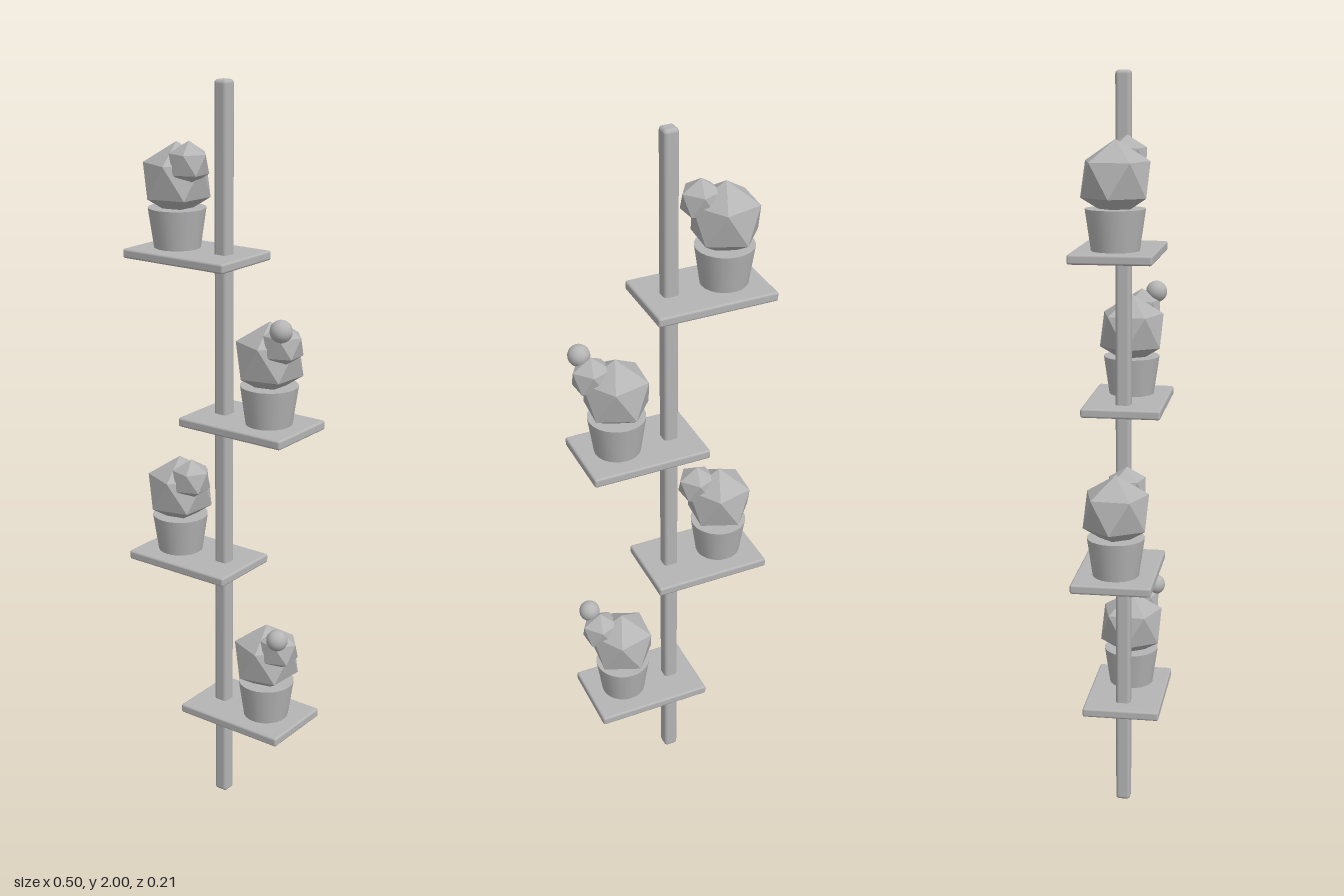
import * as THREE from 'three';
import { RoundedBoxGeometry } from 'three/addons/geometries/RoundedBoxGeometry.js';

const clay = new THREE.MeshStandardMaterial({ color: 0xb4b4b4 });
clay.name = 'grey clay';

function add(parent, name, geometry, x, y, z) {
  const mesh = new THREE.Mesh(geometry, clay);
  mesh.name = name;
  mesh.position.set(x, y, z);
  parent.add(mesh);
  return mesh;
}

// Faceted ball standing on one corner, turned about the vertical
function facetedBall(radius, turn) {
  const g = new THREE.IcosahedronGeometry(radius, 0);
  g.rotateZ(Math.PI / 2 - Math.atan((1 + Math.sqrt(5)) / 2));
  g.rotateY(THREE.MathUtils.degToRad(turn));
  return g;
}

// Potted cactus, measured from the middle of its shelf board
function createCactus(withBud) {
  const cactus = new THREE.Group();
  cactus.name = 'pottedCactus';
  add(cactus, 'pot', new THREE.CylinderGeometry(0.076, 0.061, 0.103, 24), 0, 0.064, 0);
  add(cactus, 'cactusBody', facetedBall(0.097, 32), 0, 0.186, 0);
  add(cactus, 'cactusOffshoot', facetedBall(0.057, 40), 0.056, 0.234, 0.021);
  if (withBud) add(cactus, 'cactusBud', new THREE.SphereGeometry(0.029, 16, 12), 0.074, 0.281, 0.058);
  return cactus;
}

export function createModel() {
  const model = new THREE.Group();
  model.name = 'plantStand';

  // Upright pole
  add(model, 'pole', new RoundedBoxGeometry(0.04, 2, 0.04, 3, 0.01), -0.003, 1, -0.001);

  // Shelves alternate right and left, each with a plant
  for (let i = 0; i < 4; i++) {
    const onLeft = i % 2 === 0;
    const y = 0.283 + i * 0.424;
    add(model, 'shelf', new RoundedBoxGeometry(0.322, 0.025, 0.211, 2, 0.006), onLeft ? 0.086 : -0.091, y, -0.001);
    const cactus = createCactus(onLeft);
    cactus.position.set(onLeft ? 0.142 : -0.153, y, 0);
    model.add(cactus);
  }
  return model;
}
